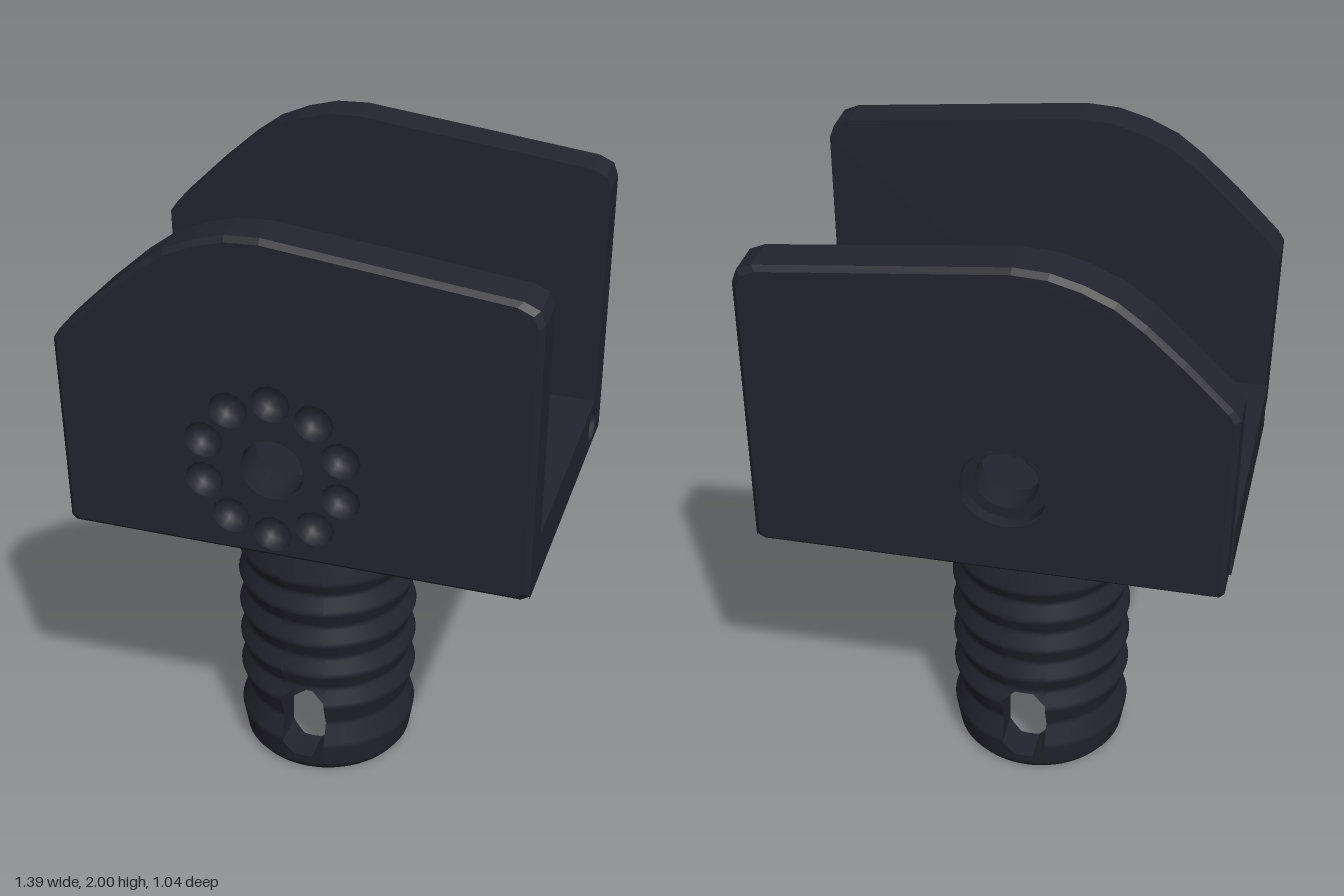
import * as THREE from 'three';
import { mergeGeometries } from 'three/addons/utils/BufferGeometryUtils.js';

const darkPlastic = new THREE.MeshStandardMaterial({ color: 0x24242e, side: THREE.DoubleSide });
darkPlastic.name = 'darkPlastic';

const CX = -0.06, CZ = -0.01;      // shaft axis
const PX = -0.055, PY = 1.295;     // pivot hole centre
const INNER = 0.39, EDGE = 0.505, OUTER = 0.52;
const END = 0.695;

function part(name, geometry, parent) {
  const mesh = new THREE.Mesh(geometry, darkPlastic);
  mesh.name = name;
  parent.add(mesh);
  return mesh;
}

// Surface from a rule fn(u, v) -> [x, y, z], facing du x dv
function grid(fn, nu, nv, flat = false) {
  const pos = [], index = [];
  for (let j = 0; j <= nv; j++) for (let i = 0; i <= nu; i++) pos.push(...fn(i / nu, j / nv));
  for (let j = 0; j < nv; j++) for (let i = 0; i < nu; i++) {
    const a = j * (nu + 1) + i, b = a + 1, c = a + nu + 1, d = c + 1;
    index.push(a, b, d, a, d, c);
  }
  let g = new THREE.BufferGeometry();
  g.setAttribute('position', new THREE.Float32BufferAttribute(pos, 3));
  g.setIndex(index);
  if (flat) g = g.toNonIndexed();
  g.computeVertexNormals();
  return g;
}

// Lathe with sharp profile corners; a falling profile makes a hole
function turned(points, segments = 12) {
  const v = points.map(p => new THREE.Vector2(...p));
  return mergeGeometries(v.slice(1).map((p, i) => new THREE.LatheGeometry([v[i], p], segments)));
}

// Flat face with round holes given as [x, y, radius]
function face(points, holes = []) {
  const shape = new THREE.Shape(points.map(p => new THREE.Vector2(...p)));
  for (const [x, y, r] of holes) shape.holes.push(new THREE.Path().absarc(x, y, r, 0, Math.PI * 2));
  return new THREE.ShapeGeometry(shape, 12);
}

const rect = (x0, y0, x1, y1) => [[x0, y0], [x1, y0], [x1, y1], [x0, y1]];

// Cheek outline, from the top of the straight end round to its bottom
const outline = [[END, 1.86], [0.68, 1.9], [0.635, 1.92], [-0.08, 2], [-0.18, 1.995], [-0.27, 1.97],
  [-0.36, 1.93], [-0.44, 1.87], [-0.55, 1.77], [-0.68, 1.64], [-0.7, 1.61], [-0.69, 1.02],
  [-0.675, 1.005], [0.67, 0.995], [END, 1.01]];
const inset = outline.map(([x, y]) => [x * 0.979, 1.5 + (y - 1.5) * 0.97]);

function cheek(name, side, dimpled) {
  const group = new THREE.Group();
  group.name = name;
  group.scale.z = side;
  const n = outline.length;
  const holes = [[PX, PY, dimpled ? 0.095 : 0.13]];
  if (dimpled) {
    for (let i = 0; i < 10; i++) {
      const a = Math.PI / 2 + i * Math.PI / 5;
      holes.push([PX + 0.213 * Math.cos(a), PY + 0.213 * Math.sin(a), 0.058]);
    }
  }
  part('cheekOuterFace', face(inset, holes), group).position.z = OUTER;
  const inside = outline.map(([x, y]) => [-x, Math.max(y, 1.15)]);
  part('cheekInnerFace', face(inside, [[-PX, PY, 0.095]]).rotateY(Math.PI), group).position.z = INNER;
  part('cheekRim', grid((u, v) => [...outline[Math.round(u * (n - 1))],
    INNER + v * (EDGE - INNER)], n - 1, 1, true), group);
  part('cheekBevel', grid((u, v) => {
    const i = Math.round(u * n) % n;
    return v < 0.5 ? [...outline[i], EDGE] : [...inset[i], OUTER];
  }, n, 1, true), group);
  // Pivot hole, counterbored on the plain cheek
  const bore = dimpled ? [[0.095, OUTER], [0.095, INNER]]
    : [[0.13, OUTER], [0.13, 0.48], [0.095, 0.48], [0.095, INNER]];
  part('pivotHole', turned(bore).rotateX(Math.PI / 2), group).position.set(PX, PY, 0);
  // Ring of round dimples
  const bowl = [0, 1, 2, 3, 4].map(i => new THREE.Vector2(
    0.058 * Math.cos(i * Math.PI / 8), -0.055 * Math.sin(i * Math.PI / 8)));
  for (const [x, y] of holes.slice(1)) {
    part('dimple', new THREE.LatheGeometry(bowl, 12).rotateX(Math.PI / 2), group).position.set(x, y, OUTER);
  }
  return group;
}

function bracketFloor() {
  const group = new THREE.Group();
  group.name = 'bracketFloor';
  const plan = rect(-END, -INNER, END, INNER);
  const wide = [0.42, 0.092];
  part('floorTop', face(plan, [[CX, -CZ, 0.054], [wide[0], -CZ, wide[1]]])
    .rotateX(-Math.PI / 2), group).position.y = 1.15;
  part('floorBottom', face(plan, [[CX, CZ, 0.054], [wide[0], CZ, wide[1]]])
    .rotateX(Math.PI / 2), group).position.y = 1;
  part('drainHole', turned([[wide[1], 1.15], [wide[1], 1]]), group).position.set(wide[0], 0, CZ);
  part('closedEnd', face(rect(-INNER, 1, INNER, 1.15)).rotateY(-Math.PI / 2), group).position.x = -END;
  // U-shaped end with a blind pin hole in the corner
  const u = [[-EDGE, 1], [EDGE, 1], [EDGE, 1.86], [INNER, 1.86], [INNER, 1.15],
    [-INNER, 1.15], [-INNER, 1.86], [-EDGE, 1.86]];
  part('drilledEnd', face(u, [[0.37, 1.072, 0.054]]).rotateY(Math.PI / 2), group).position.x = END;
  part('pinHole', turned([[0.054, END], [0.054, 0.45], [0, 0.45]])
    .rotateZ(-Math.PI / 2), group).position.set(0, 1.072, -0.37);
  return group;
}

// Ridged radius of the shaft by height
const ridges = [[0, 0.255], [0.02, 0.27], [0.11, 0.285], [0.19, 0.26], [0.27, 0.285], [0.33, 0.262],
  [0.39, 0.285], [0.45, 0.262], [0.51, 0.285], [0.57, 0.262], [0.63, 0.285], [0.69, 0.262],
  [0.74, 0.285], [0.84, 0.265]];
function ridgeRadius(y) {
  let i = 1;
  while (i < ridges.length - 1 && y > ridges[i][0]) i++;
  return THREE.MathUtils.mapLinear(y, ridges[i - 1][0], ridges[i][0], ridges[i - 1][1], ridges[i][1]);
}

const BORE = 0.17, HEIGHT = 0.84, W = 0.07;
const slotLow = x => 0.06 + Math.max(0, Math.abs(x) - 0.03);
const slotHigh = x => 0.32 - Math.max(0, Math.abs(x) - 0.03);
const slot = [[W, 0.1], [W, 0.28], [0.03, 0.32], [-0.03, 0.32], [-W, 0.28], [-W, 0.1],
  [-0.03, 0.06], [0.03, 0.06], [W, 0.1]];

// Half of a cylindrical wall that leaves the slot open
function halfWall(radius, flip) {
  const dir = u => (flip ? 1 - u : u);
  const strip = (low, high, rows) => grid((u, v) => {
    const x = (dir(u) * 2 - 1) * W, y = THREE.MathUtils.lerp(low(x), high(x), v);
    return [x, y, Math.sqrt(radius(y) ** 2 - x * x)];
  }, 14, rows);
  const flank = grid((u, v) => {
    const y = v * HEIGHT, r = radius(y), a = Math.asin(W / r);
    const phi = a + dir(u) * (Math.PI - 2 * a);
    return [r * Math.sin(phi), y, r * Math.cos(phi)];
  }, 24, 84);
  return mergeGeometries([flank, strip(() => 0, slotLow, 8), strip(slotHigh, () => HEIGHT, 52)]);
}

function shaft() {
  const group = new THREE.Group();
  group.name = 'shaft';
  group.position.set(CX, 0, CZ);
  const ridged = halfWall(ridgeRadius, false), bore = halfWall(() => BORE, true);
  const slotWall = mergeGeometries(slot.slice(1).map((b, i) => grid((u, v) => {
    const x = THREE.MathUtils.lerp(slot[i][0], b[0], u), y = THREE.MathUtils.lerp(slot[i][1], b[1], u);
    return [x, y, Math.sqrt((v < 0.5 ? ridgeRadius(y) : BORE) ** 2 - x * x)];
  }, 18, 1)));
  for (const turn of [0, Math.PI]) {
    part('ridgedWall', ridged, group).rotation.y = turn;
    part('boreWall', bore, group).rotation.y = turn;
    part('slotWall', slotWall, group).rotation.y = turn;
  }
  part('shaftBottom', turned([[BORE, 0], [0.255, 0]], 48), group);
  part('neck', turned([[0.265, HEIGHT], [0.21, HEIGHT], [0.21, 1]], 48), group);
  part('screwHole', turned([[0.054, 1.15], [0.054, HEIGHT], [BORE, HEIGHT]]), group);
  return group;
}

export function createModel() {
  const model = new THREE.Group();
  model.name = 'clevisFitting';
  model.add(cheek('frontCheek', 1, true), cheek('backCheek', -1, false), bracketFloor(), shaft());
  return model;
}
